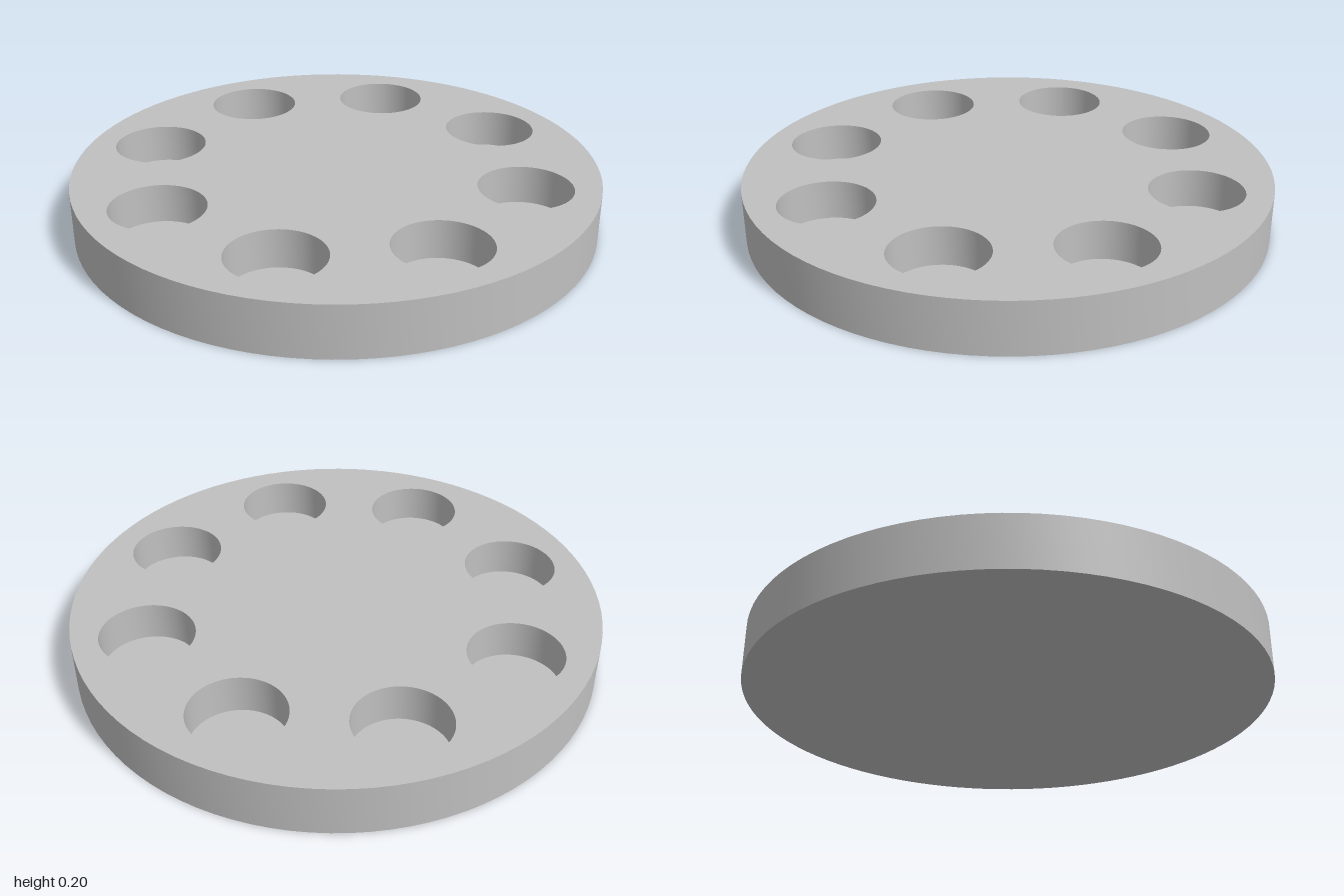
import * as THREE from 'three';
import { toCreasedNormals } from 'three/addons/utils/BufferGeometryUtils.js';

const RADIUS = 1, HEIGHT = 0.2;
const POCKETS = 8, POCKET_RADIUS = 0.177, POCKET_RING = 0.725, POCKET_FLOOR = 0.05;
const SEGMENTS = 96;

// Revolved profile that keeps its corners sharp
function turned(points) {
  const profile = points.map(([x, y]) => new THREE.Vector2(x, y));
  return toCreasedNormals(new THREE.LatheGeometry(profile, SEGMENTS), 0.6);
}

export function createModel() {
  const model = new THREE.Group();
  model.name = 'discWithPockets';
  const grey = new THREE.MeshStandardMaterial({ color: 0xc0c0c0 });
  grey.name = 'grey';

  const add = (name, geometry) => {
    const mesh = new THREE.Mesh(geometry, grey);
    mesh.name = name;
    model.add(mesh);
    return mesh;
  };

  // Underside and rim of the disc
  add('discBody', turned([[0, 0], [RADIUS, 0], [RADIUS, HEIGHT]]));

  // Top face with a ring of openings, each lined by a blind round pocket
  const top = new THREE.Shape().absarc(0, 0, RADIUS, 0, Math.PI * 2, false);
  const pocket = turned([[POCKET_RADIUS, HEIGHT], [POCKET_RADIUS, POCKET_FLOOR], [0, POCKET_FLOOR]]);
  for (let i = 0; i < POCKETS; i++) {
    const angle = (i / POCKETS) * Math.PI * 2;
    const x = POCKET_RING * Math.cos(angle), z = POCKET_RING * Math.sin(angle);
    top.holes.push(new THREE.Path().absarc(x, -z, POCKET_RADIUS, 0, Math.PI * 2, true));
    add(`pocket${i + 1}`, pocket).position.set(x, 0, z);
  }
  const topFace = new THREE.ShapeGeometry(top, SEGMENTS / 2);
  topFace.rotateX(-Math.PI / 2).translate(0, HEIGHT, 0);
  add('topFace', topFace);

  return model;
}
